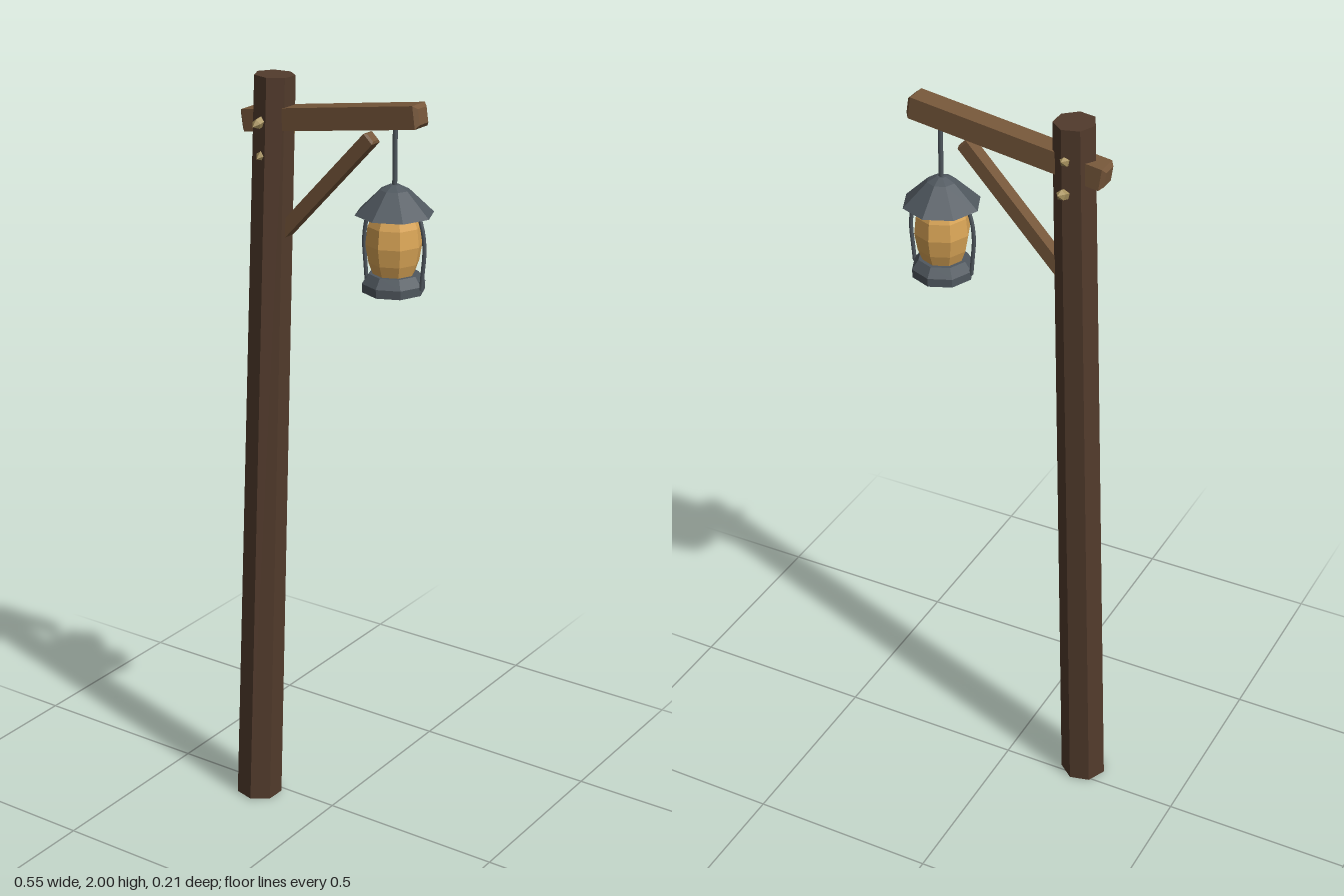
import * as THREE from 'three';

const mat = (name, color) => {
  const m = new THREE.MeshStandardMaterial({ color });
  m.name = name;
  return m;
};

// Faceted normals for the low-poly look
function faceted(geo) {
  const g = geo.index ? geo.toNonIndexed() : geo;
  g.computeVertexNormals();
  return g;
}

// Turn a Y-axis mesh so that it runs from a to b
function span(mesh, a, b) {
  mesh.position.copy(a).add(b).multiplyScalar(0.5);
  mesh.quaternion.setFromUnitVectors(new THREE.Vector3(0, 1, 0), b.clone().sub(a).normalize());
  return mesh;
}

// Square bar along Y with all edges chamfered
function chamferedBar(length, width, c) {
  const s = width / 2 - c;
  const shape = new THREE.Shape([[-s, -s], [s, -s], [s, s], [-s, s]].map(([x, y]) => new THREE.Vector2(x, y)));
  const geo = new THREE.ExtrudeGeometry(shape, {
    depth: length - 2 * c, bevelEnabled: true, bevelSize: c, bevelThickness: c, bevelSegments: 1,
  });
  geo.center();
  geo.rotateX(-Math.PI / 2);
  return faceted(geo);
}

// Eight-sided turned part from [radius, height] points, bottom to top
const turned = (points) =>
  faceted(new THREE.LatheGeometry(points.map(([r, y]) => new THREE.Vector2(r, y)), 8));

export function createModel() {
  const postWood = mat('dark post wood', 0x523b2c);
  const beamWood = mat('brown beam wood', 0x76573a);
  const pegWood = mat('pale peg wood', 0xa8935f);
  const metal = mat('grey metal', 0x50585f);
  const glow = mat('amber glass', 0xdba657);

  const model = new THREE.Group();
  model.name = 'lanternPost';
  const v = (x, y, z) => new THREE.Vector3(x, y, z);
  const add = (parent, name, geo, material) => {
    const mesh = new THREE.Mesh(geo, material);
    mesh.name = name;
    parent.add(mesh);
    return mesh;
  };
  const Z = -0.006;

  // Leaning seven-sided post
  const foot = v(-0.217, 0.002, 0.041), head = v(-0.175, 1.998, -0.007);
  const postGeo = new THREE.CylinderGeometry(0.052, 0.062, foot.distanceTo(head), 7, 1, false, 0.22);
  span(add(model, 'post', faceted(postGeo), postWood), foot, head);

  // Cross beam and diagonal brace
  const beamA = v(-0.262, 1.877, Z), beamB = v(0.254, 1.953, Z);
  span(add(model, 'beam', chamferedBar(beamA.distanceTo(beamB), 0.056, 0.009), beamWood), beamA, beamB);
  const braceA = v(-0.17, 1.583, Z), braceB = v(0.113, 1.883, Z);
  span(add(model, 'brace', chamferedBar(braceA.distanceTo(braceB), 0.034, 0.005), beamWood), braceA, braceB);

  // Pointed pegs driven through the post
  [
    [v(-0.186, 1.88, 0.072), v(-0.17, 1.922, -0.07)],
    [v(-0.184, 1.798, 0.06), v(-0.17, 1.842, -0.084)],
  ].forEach(([a, b], i) => {
    const h = a.distanceTo(b) / 2;
    const profile = [[0, -h], [0.013, -h + 0.016], [0.013, h - 0.016], [0, h]];
    const geo = new THREE.LatheGeometry(profile.map(([r, y]) => new THREE.Vector2(r, y)), 5);
    span(add(model, 'peg' + (i + 1), faceted(geo), pegWood), a, b);
  });

  // Hanging lantern
  const lantern = new THREE.Group();
  lantern.name = 'lantern';
  lantern.position.set(0.177, 0, Z);
  model.add(lantern);

  const rod = add(lantern, 'hangingRod', new THREE.CylinderGeometry(0.006, 0.006, 0.17, 6), metal);
  rod.position.y = 1.85;
  add(lantern, 'roof', turned([[0, 1.704], [0.098, 1.704], [0.036, 1.764], [0.012, 1.776], [0, 1.776]]), metal);
  add(lantern, 'glass', turned([
    [0, 1.55], [0.05, 1.55], [0.063, 1.585], [0.071, 1.63], [0.066, 1.675], [0.052, 1.708], [0, 1.708],
  ]), glow);
  add(lantern, 'base', turned([
    [0, 1.51], [0.078, 1.51], [0.079, 1.532], [0.062, 1.556], [0, 1.556],
  ]), metal);

  // Bowed guard wires on both sides
  for (const side of [-1, 1]) {
    const path = new THREE.CatmullRomCurve3([
      v(side * 0.07, 1.71, 0), v(side * 0.083, 1.665, 0), v(side * 0.087, 1.62, 0),
      v(side * 0.083, 1.57, 0), v(side * 0.079, 1.525, 0),
    ]);
    add(lantern, side > 0 ? 'leftGuardWire' : 'rightGuardWire',
      new THREE.TubeGeometry(path, 10, 0.005, 6), metal);
  }
  return model;
}
